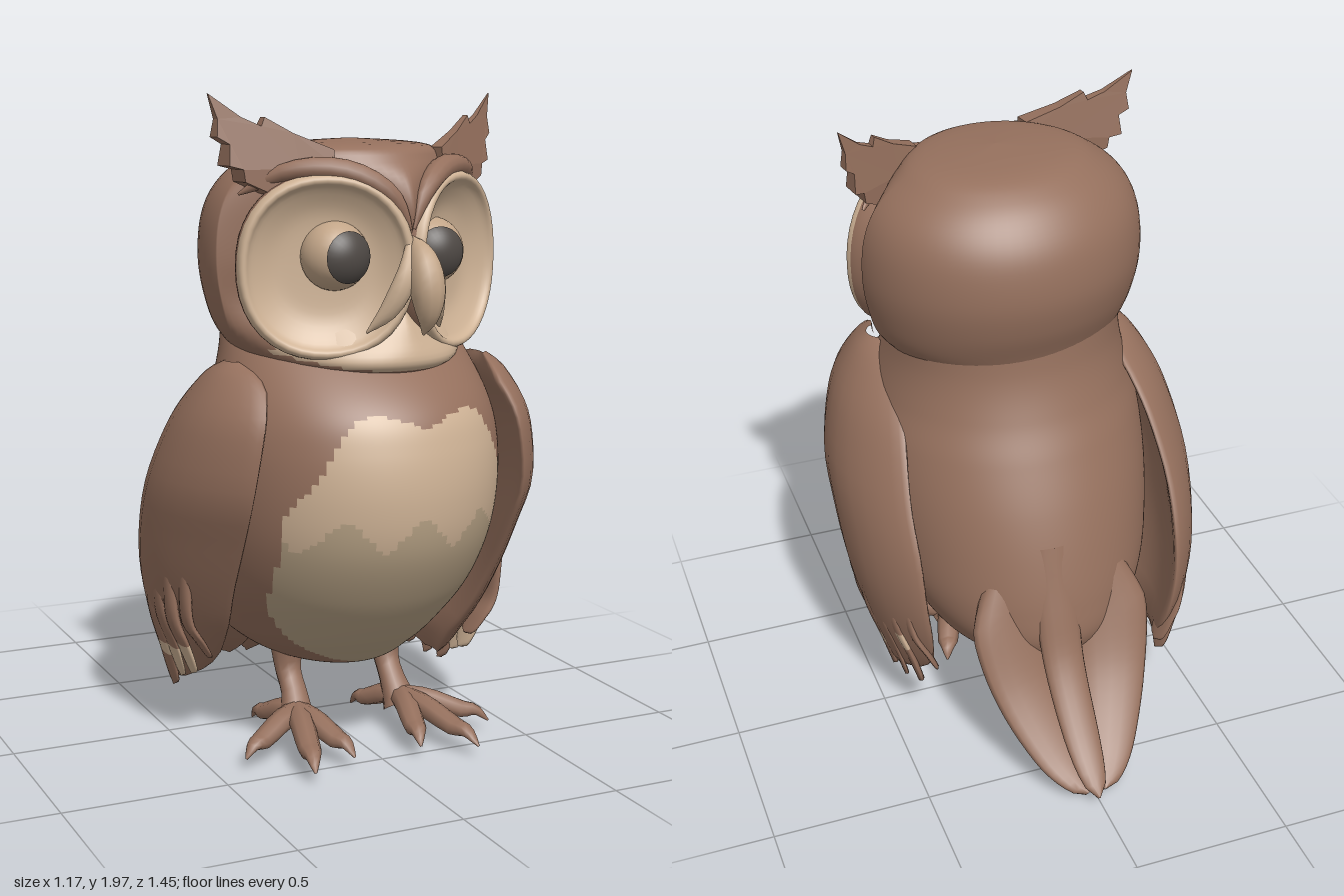
import * as THREE from 'three';

const mat = (name, color) => {
  const m = new THREE.MeshStandardMaterial({ color });
  m.name = name;
  return m;
};
const V = (x, y, z) => new THREE.Vector3(x, y, z);

// Surface closed around u; faces sorted into material groups by pick(u, v, centre)
function surface(name, fn, nu, nv, mats, pick = () => 0, flip = false) {
  const pos = [], lists = mats.map(() => []);
  for (let j = 0; j <= nv; j++)
    for (let i = 0; i < nu; i++) pos.push(...fn((i / nu) * Math.PI * 2, j / nv));
  const P = (k) => V(pos[3 * k], pos[3 * k + 1], pos[3 * k + 2]);
  for (let j = 0; j < nv; j++)
    for (let i = 0; i < nu; i++) {
      const n = (i + 1) % nu;
      const a = j * nu + i, b = a + nu, c = j * nu + n, d = c + nu;
      const list = lists[pick((i + 0.5) / nu, (j + 0.5) / nv, P(a).add(P(d)).multiplyScalar(0.5))];
      if (flip) list.push(a, c, b, c, d, b);
      else list.push(a, b, c, c, b, d);
    }
  const g = new THREE.BufferGeometry();
  g.setAttribute('position', new THREE.Float32BufferAttribute(pos, 3));
  g.setIndex(lists.flat());
  let start = 0;
  lists.forEach((l, k) => { g.addGroup(start, l.length, k); start += l.length; });
  g.computeVertexNormals();
  const mesh = new THREE.Mesh(g, mats.length > 1 ? mats : mats[0]);
  mesh.name = name;
  return mesh;
}

// Smooth interpolation through table rows
function rowsAt(rows) {
  return (t) => {
    const f = t * (rows.length - 1), i = Math.min(Math.floor(f), rows.length - 2), k = f - i;
    const r = (n) => rows[Math.max(0, Math.min(rows.length - 1, n))];
    return rows[0].map((_, c) => {
      const a = r(i - 1)[c], b = r(i)[c], d = r(i + 1)[c], e = r(i + 2)[c];
      return b + 0.5 * k * (d - a + k * (2 * a - 5 * b + 4 * d - e + k * (3 * (b - d) + e - a)));
    });
  };
}

// Flattened sweep along a curve: half width w(t) along side, half thickness h(t)
function sweep(name, pts, side, w, h, mats, pick, nu = 12, nv = 14) {
  const curve = new THREE.CatmullRomCurve3(pts);
  return surface(name, (a, t) => {
    const p = curve.getPoint(t), d = curve.getTangent(t);
    const s = side.clone().addScaledVector(d, -side.dot(d)).normalize();
    const n = s.clone().cross(d);
    return p.addScaledVector(s, w(t) * Math.cos(a)).addScaledVector(n, h(t) * Math.sin(a)).toArray();
  }, nu, nv, mats, pick);
}

export function createModel() {
  const brown = mat('brown feathers', 0x95705d);
  const cream = mat('cream feathers', 0xcfb396);
  const dull = mat('lower belly feathers', 0xb8a386);
  const tan = mat('beak tan', 0xc2a588);
  const dark = mat('dark pupil', 0x504a46);
  const owl = new THREE.Group();
  owl.name = 'owl';

  // Body rows: y, back z, front z, half width
  const body = rowsAt([
    [0.265, 0.1, 0.1, 0], [0.28, -0.2, 0.32, 0.18], [0.34, -0.34, 0.42, 0.29], [0.43, -0.4, 0.52, 0.36],
    [0.55, -0.39, 0.62, 0.42], [0.7, -0.35, 0.7, 0.45], [0.85, -0.295, 0.725, 0.46], [1.0, -0.225, 0.71, 0.45],
    [1.12, -0.165, 0.66, 0.42], [1.25, -0.12, 0.52, 0.38], [1.4, -0.1, 0.3, 0.34]]);
  owl.add(surface('body', (a, t) => {
    const [y, zb, zf, hw] = body(t);
    return [hw * Math.cos(a), y, (zb + zf) / 2 + ((zf - zb) / 2) * Math.sin(a)];
  }, 140, 110, [brown, cream, dull], (u, v, p) => {
    // heart-topped belly patch with a zigzag change of tone
    const x = p.x - 0.04, ax = Math.abs(x);
    const top = 1.06 + 0.045 * Math.sin(Math.min(ax / 0.3, 1) * Math.PI) - 2.2 * Math.max(0, ax - 0.2) ** 1.3;
    const half = p.y > 0.6 ? 0.38 : 0.38 * Math.sqrt(Math.max(0, 1 - ((0.6 - p.y) / 0.31) ** 2));
    if (p.z < 0.2 || p.y > top || ax > half) return 0;
    const zig = Math.abs((((x + 0.02) / 0.22) % 1 + 1) % 1 - 0.5) * 0.22;
    return p.y > 0.71 + zig ? 1 : 2;
  }));

  // Wings: y, back z, front z, outer x
  const wing = rowsAt([
    [0.18, -0.03, 0.06, 0.45], [0.25, -0.14, 0.18, 0.48], [0.4, -0.21, 0.33, 0.53], [0.55, -0.22, 0.43, 0.565],
    [0.7, -0.19, 0.52, 0.58], [0.85, -0.11, 0.6, 0.582], [1.0, -0.01, 0.62, 0.55], [1.1, 0.08, 0.6, 0.51],
    [1.19, 0.2, 0.52, 0.45], [1.23, 0.33, 0.41, 0.4]]);
  for (const s of [1, -1]) {
    const g = new THREE.Group();
    g.name = s > 0 ? 'leftWing' : 'rightWing';
    const dz = s > 0 ? 0 : -0.11;
    g.add(surface('wingShell', (a, t) => {
      const [y, zb, zf, xo] = wing(t), half = (zf - zb) / 2, k = Math.sin(a);
      const th = 0.05 * Math.min(1, half / 0.2);
      return [s * (xo - th - 0.34 * half * k * k + th * Math.cos(a)), y, (zb + zf) / 2 + half * k + dz];
    }, 28, 26, [brown], undefined, s < 0));
    // flight feathers: z, tip y, start and end of the cream spot along the feather
    [[0.26, 0.3, 1, 1], [0.19, 0.23, 0.62, 1], [0.115, 0.2, 0.64, 1], [0.04, 0.15, 0.6, 0.7], [-0.03, 0.15, 1, 1],
      [-0.1, 0.17, 0.42, 0.54], [-0.16, 0.26, 1, 1]].forEach(([z, tip, c0, c1], i) => {
      const curl = 1.3 * (z - 0.1) ** 2;
      g.add(sweep('flightFeather', [V(s * (0.54 - curl), 0.58, z + 0.03 + dz), V(s * (0.525 - curl), 0.42, z + 0.01 + dz),
        V(s * (0.485 - curl), 0.28 + (tip - 0.15) * 0.5, z + dz), V(s * (0.45 - curl), tip, z - 0.01 + dz)],
      V(0, 0, 1), (t) => 0.052 * Math.min(1, 0.5 + t) * Math.sqrt(Math.max(0, 1 - t ** 9)) + 0.001,
      (t) => 0.018 * (1 - 0.6 * t) + (i % 2) * 0.003, [brown, cream],
      (u, v) => (v > c0 && v < c1 ? 1 : 0), 14, 20));
    });
    owl.add(g);
  }

  // Tail: two broad outer feathers beneath a central one
  const tail = new THREE.Group();
  tail.name = 'tail';
  for (const s of [1, -1])
    tail.add(sweep('outerTailFeather', [V(s * 0.14, 0.68, -0.24), V(s * 0.16, 0.48, -0.325), V(s * 0.14, 0.3, -0.42),
      V(s * 0.08, 0.13, -0.56), V(s * 0.03, 0.04, -0.67)], V(1, 0, -s * 0.2),
    (t) => 0.002 + 0.145 * Math.min(1, 0.4 + 2.5 * t) * (1 - 0.62 * t ** 1.5) * Math.sqrt(1 - t ** 10),
    (t) => 0.055 * (1 - 0.7 * t), [brown], undefined, 16, 22));
  tail.add(sweep('centreTailFeather', [V(0.02, 0.75, -0.29), V(0.02, 0.55, -0.36), V(0.02, 0.38, -0.43), V(0.015, 0.2, -0.57),
    V(0.01, 0.06, -0.72)], V(1, 0, 0), (t) => 0.002 + (0.075 - 0.02 * t) * Math.sqrt(1 - t ** 8),
  (t) => 0.045 * (1 - 0.7 * t), [brown], undefined, 16, 20));
  owl.add(tail);

  // Legs and feet
  for (const s of [1, -1]) {
    const foot = new THREE.Group();
    foot.name = s > 0 ? 'leftFoot' : 'rightFoot';
    foot.add(sweep('leg', [V(s * 0.17, 0.34, 0.17), V(s * 0.17, 0.24, 0.18), V(s * 0.17, 0.17, 0.23), V(s * 0.18, 0.1, 0.27)],
      V(1, 0, 0), (t) => 0.06 - 0.02 * Math.sin(t * Math.PI), (t) => 0.055 - 0.02 * Math.sin(t * Math.PI), [brown], undefined, 10, 8));
    for (const [x, z] of [[0.11, 0.54], [0.27, 0.61], [0.41, 0.42], [0.09, 0.09], [0.25, 0.08]]) {
      const at = (k, y) => V(s * (0.18 + (x - 0.18) * k), y, 0.27 + (z - 0.27) * k);
      const d = at(1, 0).sub(at(0, 0));
      foot.add(sweep('toe', [at(0, 0.13), at(0.3, 0.125), at(0.7, 0.095), at(0.85, 0.095), at(1, 0.062)],
        V(d.z, 0, -d.x).normalize(), (t) => 0.036 * (1 - t ** 3) + 0.003, (t) => 0.032 * (1 - t ** 2) + 0.003, [brown], undefined, 8, 10));
    }
    owl.add(foot);
  }

  // Head, turned slightly to its left
  const head = new THREE.Group();
  head.name = 'head';
  head.position.z = 0.25;
  head.rotation.y = 0.16;
  owl.add(head);
  // y, back depth, front depth, half width, wedge amount of the face
  const skull = rowsAt([
    [1.2, 0.3, 0.3, 0.24, 0], [1.24, 0.33, 0.345, 0.33, 0.1], [1.32, 0.36, 0.32, 0.41, 0.6], [1.42, 0.4, 0.28, 0.445, 1],
    [1.53, 0.42, 0.29, 0.46, 1], [1.65, 0.405, 0.325, 0.45, 1], [1.74, 0.36, 0.31, 0.41, 0.8], [1.81, 0.29, 0.26, 0.33, 0.3],
    [1.855, 0.19, 0.2, 0.23, 0], [1.872, 0, 0, 0, 0]]);
  head.add(surface('skull', (a, t) => {
    const [y, db, df, hw, w] = skull(t), c = Math.cos(a), s = Math.sin(a);
    if (s < 0) return [hw * c, y, db * s];
    return [hw * (c * (1 - w) + c * Math.abs(c) * w), y, df * (s * (1 - w) + s * s * w)];
  }, 72, 48, [brown, cream], (u, v, p) => (p.z > 0.1 && p.y < 1.5 && p.y > 1.215 + 0.45 * p.x * p.x ? 1 : 0)));

  // Outline of a ragged ear tuft
  const tuft = new THREE.Shape([[0.19, 1.8], [0.28, 1.79], [0.35, 1.72], [0.42, 1.755], [0.425, 1.79], [0.46, 1.8], [0.455, 1.86],
    [0.485, 1.88], [0.48, 1.93], [0.5, 2.0], [0.42, 1.935], [0.37, 1.91], [0.36, 1.935], [0.29, 1.89], [0.19, 1.845]]
    .map(([x, y]) => new THREE.Vector2(x, y)));

  for (const s of [1, -1]) {
    // Dished facial disc with raised rim
    const disc = rowsAt([[1, -0.13], [1.03, -0.04], [1, 0.005], [0.93, 0.012], [0.85, -0.01], [0.6, -0.042], [0.3, -0.05], [0, -0.05]]);
    const face = surface('facialDisc', (a, t) => {
      const [r, z] = disc(t), c = Math.cos(a), k = -Math.sin(a);
      const sq = 1 / (Math.abs(c) ** 2.2 + Math.abs(k) ** 2.2) ** (1 / 2.2);
      return [0.25 * r * sq * c, 0.258 * r * sq * k, z];
    }, 40, 28, [cream, brown], (u, v) => (v < 0.2 ? 1 : 0));
    face.position.set(s * 0.23, 1.515, 0.228);
    face.rotation.y = s * 0.47;
    head.add(face);

    // Eyeball with a pupil cap
    const eye = new THREE.Group();
    eye.name = s > 0 ? 'leftEye' : 'rightEye';
    eye.position.set(s > 0 ? 0.16 : -0.18, 1.545, 0.19);
    eye.rotation.y = s > 0 ? -0.22 : 0;
    const ball = new THREE.Mesh(new THREE.SphereGeometry(0.1, 24, 16), tan);
    ball.name = 'eyeball';
    const pupil = new THREE.Mesh(new THREE.SphereGeometry(0.104, 24, 8, 0, Math.PI * 2, 0, 0.8).rotateX(Math.PI / 2), dark);
    pupil.name = 'pupil';
    eye.add(ball, pupil);
    head.add(eye);

    // Low brow above the disc
    head.add(sweep('brow', [V(s * 0.005, 1.62, 0.32), V(s * 0.06, 1.72, 0.295), V(s * 0.17, 1.785, 0.23), V(s * 0.31, 1.785, 0.15), V(s * 0.42, 1.72, 0.06)],
      V(0, 1, 0.3), (t) => 0.004 + 0.03 * Math.sin(Math.PI * t) ** 0.7, (t) => 0.004 + 0.032 * Math.sin(Math.PI * t), [brown]));

    // Ear tuft, slanted back and thinning towards the tips
    const ear = new THREE.ExtrudeGeometry(tuft, { depth: 1, bevelEnabled: false });
    const p = ear.attributes.position;
    for (let i = 0; i < p.count; i++) {
      const x = p.getX(i), y = p.getY(i), half = 0.035 * Math.max(0.08, Math.min(1, (2 - y) / 0.2));
      const side = (p.getZ(i) - 0.5) * 2;
      p.setXYZ(i, s * x, y, 0.265 - 0.47 * x + side * s * half);
    }
    if (s < 0) // the mirrored outline is also turned front to back, so the corner order still holds
      ear.attributes.position.needsUpdate = true;
    ear.computeVertexNormals();
    const earMesh = new THREE.Mesh(ear, brown);
    earMesh.name = s > 0 ? 'leftEarTuft' : 'rightEarTuft';
    head.add(earMesh);

    // Soft bristles beside the beak
    head.add(sweep('beakBristles', [V(s * 0.02, 1.6, 0.33), V(s * 0.045, 1.5, 0.355), V(s * 0.08, 1.4, 0.325), V(s * 0.13, 1.33, 0.28)],
      V(1, 0, -s * 0.5), (t) => 0.003 + 0.03 * Math.sin(Math.PI * t), (t) => 0.003 + 0.028 * Math.sin(Math.PI * t), [cream], undefined, 10, 10));
  }

  // Hooked beak
  head.add(sweep('beak', [V(0, 1.6, 0.32), V(0, 1.53, 0.37), V(0, 1.45, 0.395), V(0, 1.38, 0.395), V(0, 1.325, 0.375)],
    V(1, 0, 0), (t) => 0.003 + 0.047 * Math.sin(Math.PI * t ** 0.8), (t) => 0.003 + 0.055 * Math.sin(Math.PI * t ** 0.8), [tan], undefined, 12, 14));

  return owl;
}
